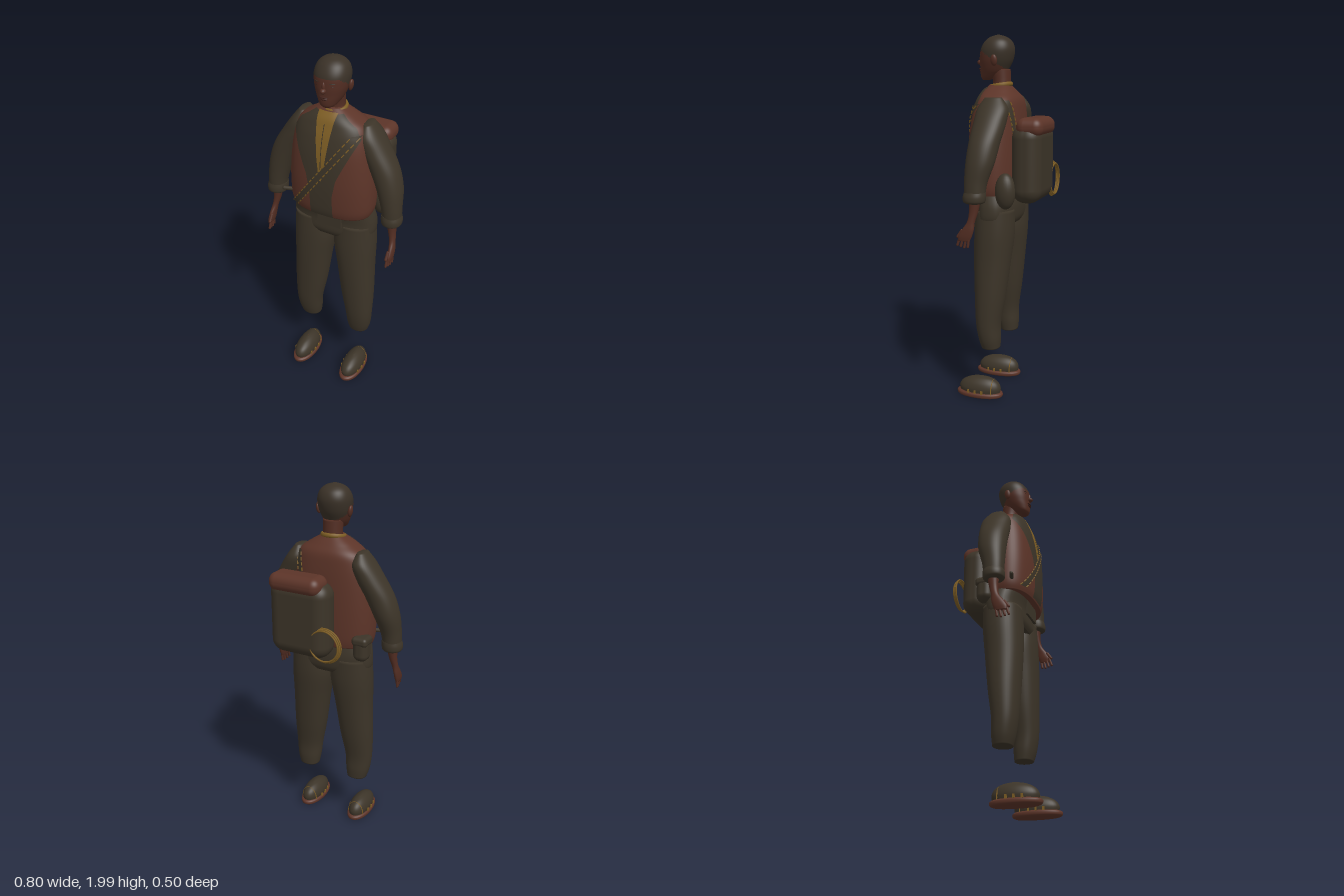
import * as THREE from 'three';
import { RoundedBoxGeometry } from 'three/addons/geometries/RoundedBoxGeometry.js';

const material = (name, color) => {
  const m = new THREE.MeshStandardMaterial({ color });
  m.name = name;
  return m;
};
const mats = {
  cloth: material('dark olive cloth', 0x3c3428),
  hair: material('dark hair', 0x3a3127),
  russet: material('russet leather', 0x5c3428),
  skin: material('brown skin', 0x522d22),
  lips: material('dark lips', 0x3f211a),
  gold: material('old gold', 0x7d5d24),
};

// Smoothly resample rows of [x, y, z, rx, rz], listed from bottom to top
function resample(rows, steps = 6) {
  const out = [];
  const row = i => rows[Math.min(Math.max(i, 0), rows.length - 1)];
  for (let i = 0; i < rows.length - 1; i++) {
    for (let s = 0; s < steps; s++) {
      const t = s / steps;
      out.push(row(i).map((p1, k) => {
        const p0 = row(i - 1)[k], p2 = row(i + 1)[k], p3 = row(i + 2)[k];
        return 0.5 * (2 * p1 + (p2 - p0) * t + (2 * p0 - 5 * p1 + 4 * p2 - p3) * t * t
          + (3 * p1 - p0 - 3 * p2 + p3) * t * t * t);
      }));
    }
  }
  out.push(row(rows.length - 1));
  return out;
}

// Closed skin over stacked superellipses; an optional rule sorts faces into a second group
function loft(fine, n = 2, seg = 40, rule = null) {
  const flat = r => [r[0], r[1], r[2], 0.0005, 0.0005];
  const rows = [flat(fine[0]), ...fine, flat(fine[fine.length - 1])];
  const pos = [], groups = [[], []];
  const pw = v => Math.sign(v) * Math.pow(Math.abs(v), 2 / n);
  for (const [x, y, z, rx, rz] of rows) {
    for (let j = 0; j < seg; j++) {
      const a = j / seg * Math.PI * 2;
      pos.push(x + rx * pw(Math.cos(a)), y, z + rz * pw(Math.sin(a)));
    }
  }
  for (let i = 0; i < rows.length - 1; i++) {
    for (let j = 0; j < seg; j++) {
      const a = i * seg + j, b = i * seg + (j + 1) % seg, c = a + seg, d = b + seg;
      const second = rule && rule((pos[a * 3 + 1] + pos[c * 3 + 1]) / 2, (pos[a * 3 + 2] + pos[d * 3 + 2]) / 2);
      groups[second ? 1 : 0].push(a, c, b, b, c, d);
    }
  }
  const g = new THREE.BufferGeometry();
  g.setAttribute('position', new THREE.Float32BufferAttribute(pos, 3));
  g.setIndex([...groups[0], ...groups[1]]);
  if (rule) {
    g.addGroup(0, groups[0].length, 0);
    g.addGroup(groups[0].length, groups[1].length, 1);
  }
  g.computeVertexNormals();
  return g;
}

const VEST_N = 2.5;
const vestRows = resample([
  [0, 1.155, 0.06, 0.222, 0.128], [0, 1.21, 0.062, 0.235, 0.138], [0, 1.35, 0.062, 0.235, 0.142],
  [0, 1.5, 0.057, 0.222, 0.137], [0, 1.6, 0.05, 0.205, 0.125], [0, 1.66, 0.045, 0.18, 0.11],
  [0, 1.7, 0.05, 0.125, 0.088], [0, 1.73, 0.05, 0.075, 0.062], [0, 1.742, 0.05, 0.055, 0.05],
]);

// Depth of the vest surface at x, y on its front (side 1) or back (side -1)
function vestZ(x, y, side, off) {
  let i = 0;
  while (i < vestRows.length - 2 && vestRows[i + 1][1] < y) i++;
  const a = vestRows[i], b = vestRows[i + 1];
  const t = THREE.MathUtils.clamp((y - a[1]) / (b[1] - a[1]), 0, 1);
  const [, , cz, rx, rz] = a.map((v, k) => v + (b[k] - v) * t);
  const f = Math.min(Math.abs(x / rx), 0.985);
  return cz + side * (rz * Math.pow(1 - Math.pow(f, VEST_N), 1 / VEST_N) + off);
}

// Thin cloth lying on the vest between two x limits that vary with height
function panel(y0, y1, left, right, side = 1, off = 0.006) {
  const g = new THREE.PlaneGeometry(1, 1, 14, 40), p = g.attributes.position;
  for (let i = 0; i < p.count; i++) {
    const u = side * p.getX(i) + 0.5, y = y0 + (y1 - y0) * (p.getY(i) + 0.5);
    const x = left(y) + (right(y) - left(y)) * u;
    p.setXYZ(i, x, y, vestZ(x, y, side, off));
  }
  g.computeVertexNormals();
  return g;
}

// Piecewise linear function through [y, x] points in rising y
const along = pts => y => {
  let i = 0;
  while (i < pts.length - 2 && pts[i + 1][0] < y) i++;
  const [a, b] = [pts[i], pts[i + 1]];
  return a[1] + (b[1] - a[1]) * THREE.MathUtils.clamp((y - a[0]) / (b[0] - a[0]), 0, 1);
};

export function createModel() {
  const model = new THREE.Group();
  model.name = 'traveller';
  const add = (name, geo, mat, pos = [0, 0, 0], scale = [1, 1, 1], rot = [0, 0, 0]) => {
    const m = new THREE.Mesh(geo, mat);
    m.name = name;
    m.position.set(...pos);
    m.scale.set(...scale);
    m.rotation.set(...rot);
    model.add(m);
    return m;
  };
  const ball = new THREE.SphereGeometry(1, 24, 16);
  const { cloth, hair, russet, skin, lips, gold } = mats;

  // Head with close-cropped hair
  const headRows = resample([
    [0, 1.762, 0.13, 0.02, 0.016], [0, 1.775, 0.112, 0.042, 0.044], [0, 1.8, 0.09, 0.06, 0.07],
    [0, 1.83, 0.08, 0.074, 0.08], [0, 1.87, 0.071, 0.086, 0.09], [0, 1.92, 0.064, 0.09, 0.092],
    [0, 1.96, 0.06, 0.077, 0.076], [0, 1.985, 0.06, 0.05, 0.048], [0, 1.998, 0.06, 0.012, 0.012],
  ], 8);
  const hairline = (y, z) => y > 1.815 + 0.1 * THREE.MathUtils.clamp(z / 0.13, 0, 1);
  add('head', loft(headRows, 2.1, 64, hairline), [skin, hair]);
  add('neck', loft(resample([[0, 1.69, 0.045, 0.06, 0.055], [0, 1.75, 0.04, 0.052, 0.048],
    [0, 1.82, 0.05, 0.055, 0.055]])), skin);
  add('nose', ball, skin, [0, 1.856, 0.163], [0.015, 0.014, 0.019]);
  add('noseBridge', ball, skin, [0, 1.875, 0.157], [0.009, 0.025, 0.012]);
  add('upperLip', ball, lips, [0, 1.822, 0.159], [0.024, 0.005, 0.009]);
  add('lowerLip', ball, lips, [0, 1.812, 0.157], [0.02, 0.006, 0.009]);

  // Vest, shirt and collar
  add('vest', loft(vestRows, VEST_N, 64), russet);
  const shirtEdge = along([[1.38, 0.006], [1.5, 0.024], [1.6, 0.036], [1.73, 0.052]]);
  const lapelEdge = along([[1.16, 0.065], [1.3, 0.065], [1.4, 0.085], [1.5, 0.13],
    [1.62, 0.185], [1.67, 0.155], [1.7, 0.11], [1.725, 0.075]]);
  add('shirtFront', panel(1.38, 1.73, y => -shirtEdge(y), shirtEdge), gold);
  add('lowerPlacket', panel(1.16, 1.38, y => -lapelEdge(y), lapelEdge), cloth);
  add('leftLapel', panel(1.38, 1.725, shirtEdge, lapelEdge), cloth);
  add('rightLapel', panel(1.38, 1.725, y => -lapelEdge(y), y => -shirtEdge(y)), cloth);
  add('shirtSeam', panel(1.4, 1.68, () => -0.002, () => 0.002, 1, 0.009), cloth);
  add('shirtCollar', new THREE.TorusGeometry(0.06, 0.009, 8, 32), gold,
    [0, 1.735, 0.047], [1, 0.95, 1.3], [Math.PI / 2 + 0.15, 0, 0]);
  add('frontFlap', new THREE.BoxGeometry(0.14, 0.09, 0.02), cloth, [0.02, 1.118, 0.147]);

  // Shoulder strap with stitched edges, front and back
  const strapX = along([[1.18, -0.17], [1.64, 0.165]]), backX = along([[1.45, 0.12], [1.66, 0.155]]);
  add('strapFront', panel(1.18, 1.64, y => strapX(y) - 0.02, y => strapX(y) + 0.02, 1, 0.009), cloth);
  add('strapBack', panel(1.45, 1.66, y => backX(y) - 0.016, y => backX(y) + 0.016, -1, 0.007), cloth);
  const stitches = (centre, y0, y1, count, side, half) => {
    for (const edge of [-half, half]) for (let i = 0; i < count; i++) {
      const ya = y0 + (y1 - y0) * i / count, yb = ya + (y1 - y0) * 0.65 / count;
      const pts = [ya, yb].map(y => {
        const x = centre(y) + edge;
        return new THREE.Vector3(x, y, vestZ(x, y, side, 0.01));
      });
      add('strapStitch', new THREE.TubeGeometry(new THREE.LineCurve3(...pts), 1, 0.0035, 6), gold);
    }
  };
  stitches(strapX, 1.18, 1.64, 18, 1, 0.02);
  stitches(backX, 1.45, 1.66, 8, -1, 0.016);

  // Trouser seat
  add('trouserSeat', loft(resample([[0, 0.995, 0.042, 0.2, 0.09], [0, 1.03, 0.04, 0.236, 0.105],
    [0, 1.1, 0.038, 0.238, 0.108], [0, 1.17, 0.05, 0.222, 0.11]]), 2.5), cloth);

  for (const s of [1, -1]) {
    const side = s > 0 ? 'left' : 'right';
    const limb = (name, rows, mat, n = 2.1) =>
      add(side + name, loft(resample(rows.map(([x, ...r]) => [s * x, ...r])), n), mat);

    // Face details
    add(side + 'Ear', ball, skin, [s * 0.092, 1.865, 0.055], [0.012, 0.03, 0.018], [0, 0, -s * 0.15]);
    add(side + 'Eye', ball, lips, [s * 0.034, 1.879, 0.146], [0.014, 0.005, 0.007]);
    add(side + 'Brow', ball, hair, [s * 0.034, 1.895, 0.146], [0.021, 0.004, 0.009], [0, s * 0.25, 0]);

    // Trouser leg
    limb('Leg', [[0.16, 0.305, 0.052, 0.058, 0.05], [0.163, 0.36, 0.058, 0.07, 0.06],
      [0.163, 0.45, 0.065, 0.079, 0.067], [0.15, 0.6, 0.058, 0.095, 0.083], [0.134, 0.8, 0.05, 0.107, 0.099],
      [0.122, 0.95, 0.042, 0.119, 0.107], [0.122, 1.08, 0.038, 0.112, 0.104]], cloth, 2.2);

    // Sleeve and rolled cuff
    limb('Sleeve', [[0.345, 1.18, 0.07, 0.05, 0.055], [0.338, 1.25, 0.066, 0.055, 0.06],
      [0.316, 1.35, 0.05, 0.069, 0.075], [0.278, 1.45, 0.04, 0.077, 0.081], [0.222, 1.55, 0.03, 0.074, 0.086],
      [0.19, 1.62, 0.025, 0.058, 0.082], [0.182, 1.675, 0.025, 0.022, 0.045]], cloth);
    limb('Cuff', [[0.346, 1.145, 0.072, 0.04, 0.044], [0.346, 1.155, 0.072, 0.053, 0.057],
      [0.345, 1.18, 0.071, 0.056, 0.06], [0.342, 1.205, 0.069, 0.052, 0.056]], cloth);

    // Forearm, hand, fingers and thumb
    limb('Forearm', [[0.37, 0.95, 0.122, 0.01, 0.032], [0.369, 0.975, 0.115, 0.014, 0.037],
      [0.367, 1.01, 0.1, 0.015, 0.032], [0.361, 1.05, 0.085, 0.016, 0.021], [0.352, 1.1, 0.074, 0.021, 0.024],
      [0.345, 1.17, 0.068, 0.03, 0.032]], skin);
    for (let i = 0; i < 4; i++) {
      add(side + 'Finger', new THREE.CapsuleGeometry(0.007, 0.045, 4, 8), skin,
        [s * (0.371 - 0.003 * i), 0.938 + 0.004 * Math.abs(i - 1), 0.097 + 0.019 * i], [1, 1, 1], [-0.15 - 0.06 * i, 0, 0]);
    }
    add(side + 'Thumb', new THREE.CapsuleGeometry(0.008, 0.04, 4, 8), skin,
      [s * 0.36, 0.985, 0.148], [1, 1, 1], [-0.6, 0, 0]);

    // Shoe with sole, instep band and buckles
    limb('Sole', [[0.162, 0.006, 0.12, 0.05, 0.115], [0.162, 0.014, 0.12, 0.064, 0.132],
      [0.162, 0.03, 0.12, 0.066, 0.134], [0.162, 0.038, 0.12, 0.058, 0.122]], russet);
    limb('ShoeUpper', [[0.162, 0.03, 0.118, 0.055, 0.116], [0.162, 0.06, 0.118, 0.058, 0.121],
      [0.162, 0.09, 0.115, 0.048, 0.104], [0.162, 0.112, 0.11, 0.028, 0.065], [0.162, 0.122, 0.108, 0.006, 0.015]], cloth);
    add(side + 'ShoeBand', new THREE.TorusGeometry(0.052, 0.0035, 6, 24, Math.PI), gold,
      [s * 0.162, 0.035, 0.04], [0.93, 1.36, 1]);
    for (const z of [0.09, 0.13, 0.17]) for (const e of [-1, 1]) {
      add(side + 'ShoeBuckle', new THREE.BoxGeometry(0.008, 0.02, 0.01), gold,
        [s * 0.162 + e * (z > 0.15 ? 0.055 : 0.06), 0.045, z]);
    }
  }

  // Backpack with bedroll
  add('backpack', new RoundedBoxGeometry(0.345, 0.41, 0.16, 8, 0.072), cloth, [0.072, 1.335, -0.157]);
  add('bedroll', new RoundedBoxGeometry(0.3, 0.098, 0.145, 8, 0.046), russet, [0.086, 1.526, -0.176]);

  // Coiled rope behind the hip
  for (let i = 0; i < 3; i++) {
    add('ropeCoil', new THREE.TorusGeometry(0.084 + 0.005 * i, 0.005, 6, 40), gold,
      [-0.094, 1.228, -0.234 + 0.007 * i], [1, 1, 1], [0, 0.02 * (i - 1), 0]);
  }

  // Hip pouches and knife
  add('leftPouch', ball, cloth, [0.228, 1.195, -0.055], [0.048, 0.095, 0.055]);
  add('rightPouch', new RoundedBoxGeometry(0.085, 0.135, 0.09, 6, 0.036), cloth, [-0.214, 1.165, -0.03]);
  add('rightPouchFlap', new RoundedBoxGeometry(0.09, 0.05, 0.095, 4, 0.02), cloth, [-0.214, 1.212, -0.03]);
  add('knifeHandle', new THREE.CapsuleGeometry(0.011, 0.09, 4, 10), cloth, [-0.22, 1.217, 0.125], [1, 1, 1], [0, 0.3, Math.PI / 2]);
  return model;
}
